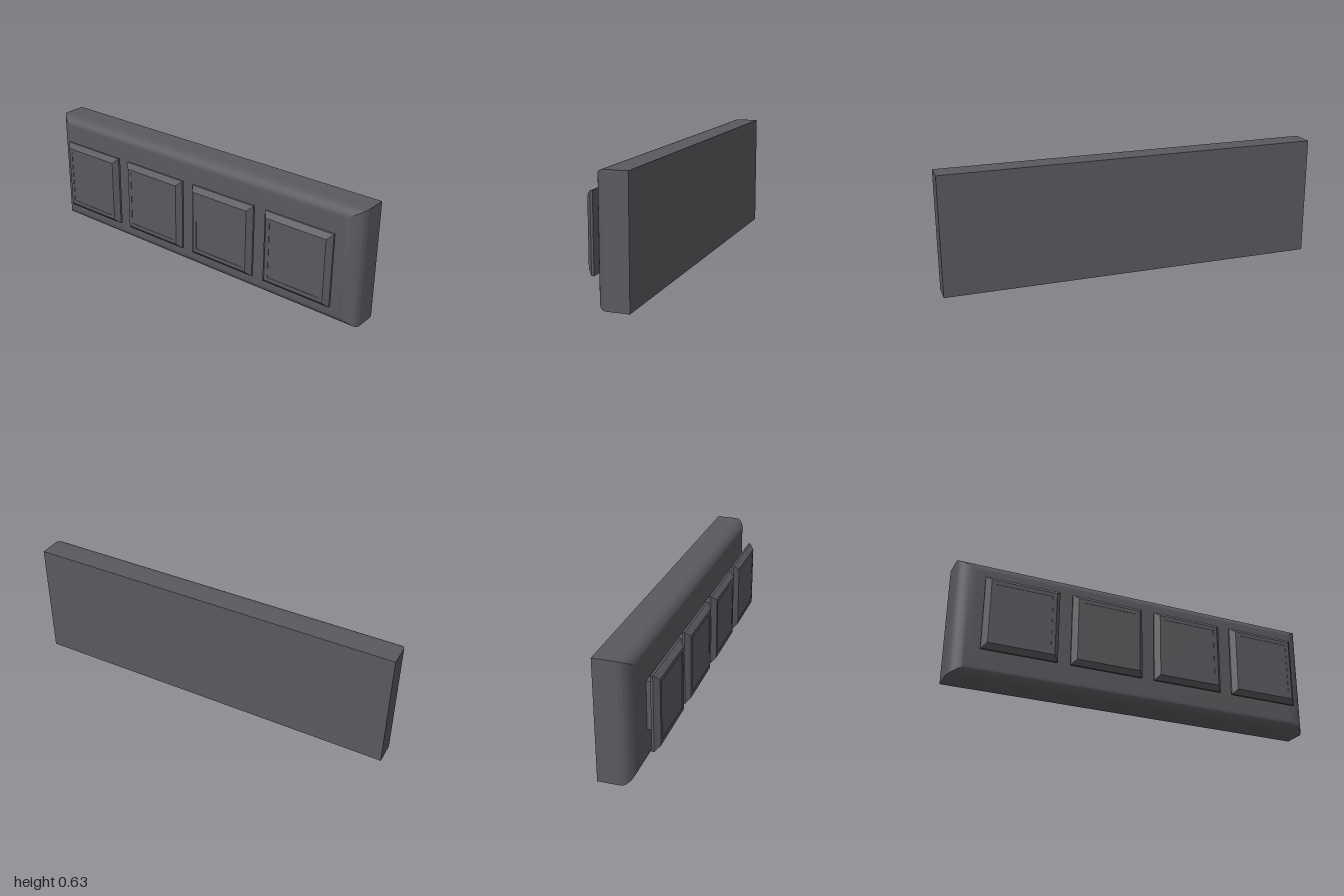
import * as THREE from 'three';
import { toCreasedNormals } from 'three/addons/utils/BufferGeometryUtils.js';

// Solid through rectangular rings [halfWidth, halfHeight, z], ordered back to front
function loftRects(rings) {
  const pos = [];
  const corners = rings.map(([w, h, z]) => [[-w, -h, z], [w, -h, z], [w, h, z], [-w, h, z]]);
  const quad = (a, b, c, d) => pos.push(...a, ...b, ...c, ...a, ...c, ...d);
  for (let i = 0; i < corners.length - 1; i++) {
    for (let j = 0; j < 4; j++) {
      const k = (j + 1) % 4;
      quad(corners[i][j], corners[i][k], corners[i + 1][k], corners[i + 1][j]);
    }
  }
  const back = corners[0];
  quad(back[3], back[2], back[1], back[0]);
  quad(...corners[corners.length - 1]);
  const geometry = new THREE.BufferGeometry();
  geometry.setAttribute('position', new THREE.Float32BufferAttribute(pos, 3));
  return toCreasedNormals(geometry, 0.4);
}

export function createModel() {
  const group = new THREE.Group();
  const material = new THREE.MeshStandardMaterial({ color: 0x5a595e });
  const add = (parent, name, geometry, x, y) => {
    const mesh = new THREE.Mesh(geometry, material);
    mesh.name = name;
    mesh.position.set(x, y, 0);
    parent.add(mesh);
  };

  // Panel with rounded, mitred front edges
  const W = 1, H = 0.3135, zBack = -0.127, zCurve = -0.015, depth = 0.06;
  const rings = [[W, H, zBack]];
  const steps = 14;
  for (let i = 0; i <= steps; i++) {
    const a = (i / steps) * Math.PI / 2;
    const inset = 1 - Math.cos(a);
    rings.push([W - 0.1 * inset, H - 0.06 * inset, zCurve + depth * Math.sin(a)]);
  }
  add(group, 'panel', loftRects(rings), 0, H);

  // Four square buttons on stems, each with a chamfered rim and shallow inset face
  const stem = loftRects([[0.124, 0.125, 0.04], [0.124, 0.125, 0.091]]);
  const cap = loftRects([
    [0.195, 0.195, 0.091], [0.195, 0.195, 0.103], [0.17, 0.17, 0.128],
    [0.149, 0.149, 0.128], [0.149, 0.149, 0.126],
  ]);
  for (let i = 0; i < 4; i++) {
    const button = new THREE.Group();
    button.name = `button${i + 1}`;
    button.position.set(-0.675 + i * 0.4583, 0.315, 0);
    add(button, 'buttonStem', stem, 0, 0);
    add(button, 'buttonCap', cap, 0, 0);
    group.add(button);
  }
  return group;
}
